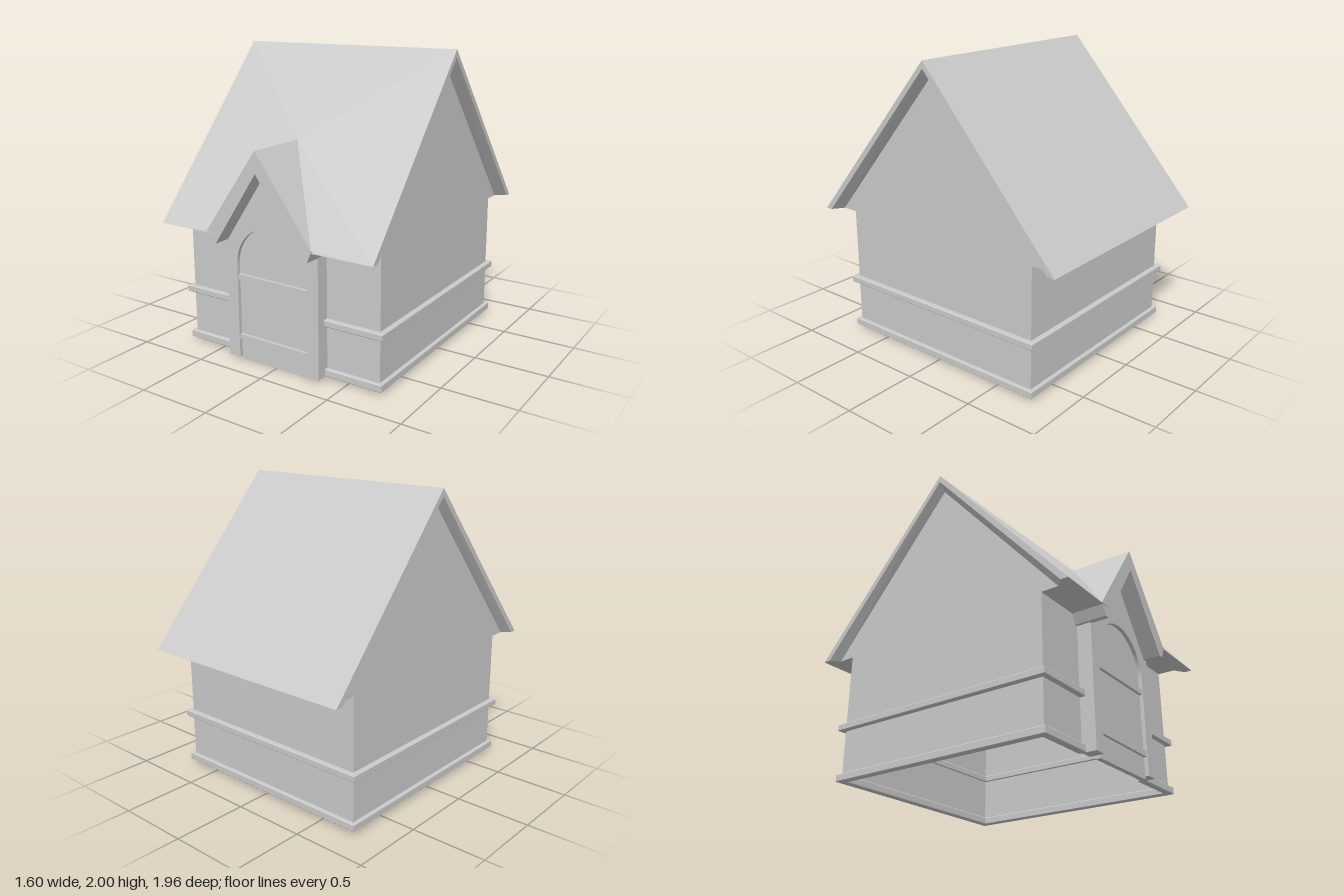
import * as THREE from 'three';

const mat = new THREE.MeshStandardMaterial({ color: 0xcccccc, flatShading: true, side: THREE.DoubleSide });
const XL = -0.745, XR = 0.725;      // side walls
const PL = -0.365, PR = 0.345;      // porch sides
const ZW = 0.765, ZE = 0.98;        // wall and eave depth
const EAVE = 0.88, RIDGE = 2, OVER = 0.8;

// Flat polygons, each given as [corners, outward direction]
function panels(list) {
  const pos = [];
  for (const [corners, out] of list) {
    const p = corners.map((c) => new THREE.Vector3(...c));
    for (let i = 1; i < p.length - 1; i++) {
      const tri = [p[0], p[i], p[i + 1]];
      const n = tri[1].clone().sub(tri[0]).cross(tri[2].clone().sub(tri[0]));
      if (n.dot(new THREE.Vector3(...out)) < 0) tri.reverse();
      tri.forEach((v) => pos.push(v.x, v.y, v.z));
    }
  }
  const g = new THREE.BufferGeometry();
  g.setAttribute('position', new THREE.Float32BufferAttribute(pos, 3));
  g.computeVertexNormals();
  return g;
}

const shapeOf = (pts) => new THREE.Shape(pts.map(([x, y]) => new THREE.Vector2(x, y)));

// Extrude a front-facing shape between two depths
function slab(shape, z0, z1) {
  const g = new THREE.ExtrudeGeometry(shape, { depth: z1 - z0, bevelEnabled: false, curveSegments: 20 });
  return g.translate(0, 0, z0);
}

// Round-headed outline for the door and its opening
function archPath(path, y0) {
  path.moveTo(-0.28, y0);
  path.lineTo(0.26, y0);
  path.lineTo(0.26, 0.66);
  path.absarc(-0.01, 0.66, 0.27, 0, Math.PI, false);
  path.lineTo(-0.28, y0);
  return path;
}

// Moulding that wraps the walls and stops at the porch
function band(y0, y1, out, inn) {
  const b = 0.005, o = out - b;
  const loop = [[PR, ZW + o], [XR + o, ZW + o], [XR + o, -ZW - o], [XL - o, -ZW - o], [XL - o, ZW + o], [PL, ZW + o],
    [PL, ZW - inn], [XL + inn, ZW - inn], [XL + inn, -ZW + inn], [XR - inn, -ZW + inn], [XR - inn, ZW - inn], [PR, ZW - inn]];
  const g = new THREE.ExtrudeGeometry(shapeOf(loop.map(([x, z]) => [x, -z])), {
    depth: y1 - y0 - 2 * b, bevelSize: b, bevelThickness: b, bevelSegments: 1,
  });
  return g.rotateX(-Math.PI / 2).translate(0, y0 + b, 0);
}

export function createModel() {
  const model = new THREE.Group();
  const add = (name, geometry) => {
    const m = new THREE.Mesh(geometry, mat);
    m.name = name;
    model.add(m);
    return m;
  };

  // Walls, open at the bottom and at the porch
  const path = [[PR, ZW], [XR, ZW], [XR, -ZW], [XL, -ZW], [XL, ZW], [PL, ZW]];
  const outs = [[0, 0, 1], [1, 0, 0], [0, 0, -1], [-1, 0, 0], [0, 0, 1]];
  add('walls', panels(outs.map((out, i) => {
    const [a, b] = [path[i], path[i + 1]];
    return [[[a[0], 0.02, a[1]], [b[0], 0.02, b[1]], [b[0], EAVE, b[1]], [a[0], EAVE, a[1]]], out];
  })));
  add('ceiling', panels([[[[XL, EAVE, -ZW], [XR, EAVE, -ZW], [XR, EAVE, ZW], [XL, EAVE, ZW]], [0, -1, 0]]]));
  add('baseBand', band(0.02, 0.07, 0.025, 0.02));
  add('middleBand', band(0.355, 0.4, 0.035, 0.005));

  // Main roof: the front slope folds up to the rear tip of the porch ridge
  const tip = [-0.02, 1.44, 0.55], ridgeL = [-OVER, RIDGE, 0], ridgeR = [OVER, RIDGE, 0];
  const roof = [
    [[ridgeL, ridgeR, [OVER, EAVE, -ZE], [-OVER, EAVE, -ZE]], [0, 1, -1]],
    [[ridgeL, ridgeR, tip], [0, 1, 1]],
  ];
  const gables = [], soffits = [], valleys = [];
  for (const s of [-1, 1]) {
    const xw = s < 0 ? XL : XR, xo = s * OVER, xp = s < 0 ? PL : PR;
    const eave = [-0.02 + s * 0.4, 0.89, 0.975];
    roof.push([[tip, [xo, RIDGE, 0], [xo, EAVE, ZE], eave], [0, 1, 1]]);
    valleys.push([[eave, [-0.02, 1.44, 0.975], tip], [s, 1, 0]]);
    gables.push([[[xw, EAVE, -0.88], [xw, EAVE, 0.88], [xw, 1.9, 0]], [s, 0, 0]]);
    for (const f of [-1, 1]) {
      // Verge board and the chamfer leading in to the gable
      roof.push([[[xo, RIDGE, 0], [xo, EAVE, f * ZE], [xo, EAVE, f * 0.93], [xo, 1.95, 0]], [s, 0, 0]]);
      roof.push([[[xo, 1.95, 0], [xo, EAVE, f * 0.93], [xw, EAVE, f * 0.88], [xw, 1.9, 0]], [s, -1, -f]]);
      const x0 = f > 0 ? xp : -0.01;
      const ring = [[x0, ZW], [xw, ZW], [xw, 0.88], [xo, 0.93], [xo, ZE], [x0, ZE]];
      soffits.push([ring.map(([x, z]) => [x, EAVE, f * z]), [0, -1, 0]]);
    }
  }
  add('mainRoof', panels(roof));
  add('gableWalls', panels(gables));
  add('soffits', panels(soffits));
  add('porchRoof', panels(valleys));

  // Porch gable boards
  add('porchGable', slab(shapeOf([[-0.42, 0.89], [-0.385, 0.815], [-0.35, 0.815], [-0.02, 1.3],
    [0.31, 0.815], [0.35, 0.815], [0.38, 0.89], [-0.02, 1.44]]), ZW, 0.975));

  // Porch front with its arched opening
  const front = shapeOf([[PL, 0.02], [-0.28, 0.02], [-0.28, 0.66], [PL, 0.66]]);
  front.curves.length = 0;
  front.moveTo(PL, 0.02);
  front.lineTo(-0.28, 0.02);
  front.lineTo(-0.28, 0.66);
  front.absarc(-0.01, 0.66, 0.27, Math.PI, 0, true);
  front.lineTo(0.26, 0.02);
  front.lineTo(PR, 0.02);
  front.lineTo(PR, 0.85);
  front.lineTo(-0.015, 1.33);
  front.lineTo(PL, 0.85);
  front.closePath();
  add('porchFront', slab(front, ZW, 0.86));

  // Door with two slightly crooked battens
  add('door', slab(archPath(new THREE.Shape(), 0), 0.8, 0.835));
  for (const y of [0.572, 0.16]) {
    const batten = add('doorBatten', new THREE.BoxGeometry(0.535, 0.035, 0.03));
    batten.position.set(-0.01, y, 0.84);
    batten.rotation.z = -0.01;
  }
  return model;
}
